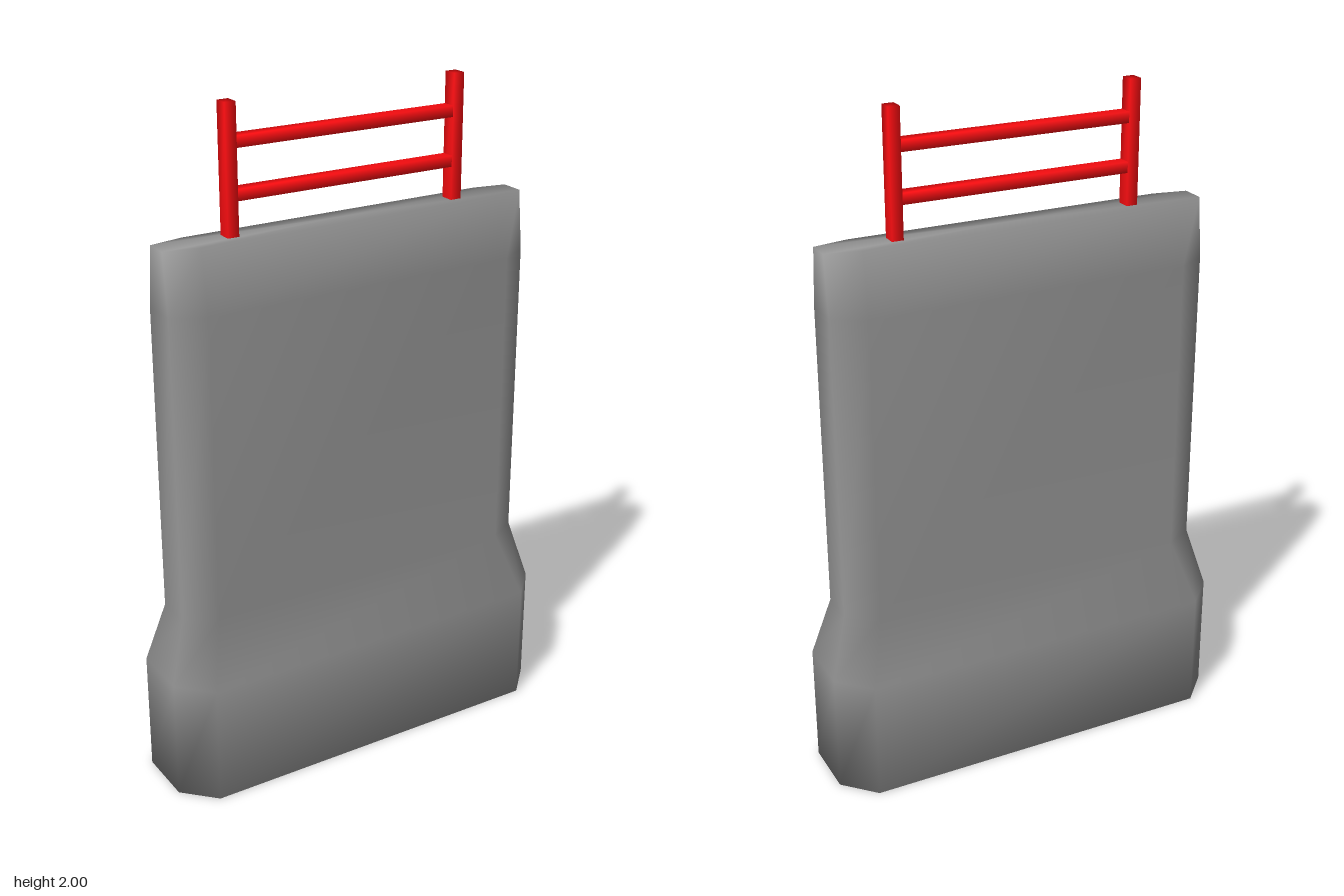
import * as THREE from 'three';
import { mergeVertices } from 'three/addons/utils/BufferGeometryUtils.js';

const grey = new THREE.MeshStandardMaterial({ color: 0x929292 });
const red = new THREE.MeshStandardMaterial({ color: 0xff0c10 });

// Chamfered slab lofted through octagonal sections, with smooth normals
function slabGeometry(sections) {
  const pos = [], index = [];
  for (const [y, x, z, cx, cz] of sections) {
    const ring = [[x, cz], [cx, z], [-cx, z], [-x, cz], [-x, -cz], [-cx, -z], [cx, -z], [x, -cz]];
    for (const [px, pz] of ring) pos.push(px, y, pz);
  }
  const last = (sections.length - 1) * 8;
  const bottom = last + 8, top = last + 9;
  pos.push(0, sections[0][0], 0, 0, sections[sections.length - 1][0], 0);
  for (let i = 0; i < 8; i++) {
    const j = (i + 1) % 8;
    for (let r = 0; r < last; r += 8) {
      index.push(r + i, r + 8 + i, r + j, r + j, r + 8 + i, r + 8 + j);
    }
    // Bottom and top caps
    index.push(bottom, i, j, top, last + j, last + i);
  }
  const g = new THREE.BufferGeometry();
  g.setAttribute('position', new THREE.Float32BufferAttribute(pos, 3));
  g.setIndex(index);
  g.computeVertexNormals();
  return g;
}

// Square bar with softened shading
function bar(name, w, h, d, x, y) {
  let g = new THREE.BoxGeometry(w, h, d);
  g.deleteAttribute('normal');
  g.deleteAttribute('uv');
  g = mergeVertices(g);
  g.computeVertexNormals();
  const m = new THREE.Mesh(g, red);
  m.name = name;
  m.position.set(x, y, 0);
  return m;
}

export function createModel() {
  const model = new THREE.Group();
  model.name = 'barrierBlock';

  // Body: wide foot, sloped shoulder, upright wall, tapered top
  // Each section: height, half width, half depth, chamfer x, chamfer z
  const body = new THREE.Mesh(slabGeometry([
    [0, 0.635, 0.182, 0.545, 0.09],
    [0.365, 0.635, 0.182, 0.545, 0.09],
    [0.55, 0.582, 0.108, 0.49, 0.055],
    [1.46, 0.582, 0.108, 0.49, 0.055],
    [1.637, 0.582, 0.055, 0.48, 0.036],
  ]), grey);
  body.name = 'body';
  model.add(body);

  // Top railing: two posts and two crossbars
  const railing = new THREE.Group();
  railing.name = 'railing';
  for (const s of [-1, 1]) {
    railing.add(bar(s > 0 ? 'leftPost' : 'rightPost', 0.034, 0.4, 0.042, s * 0.363, 1.8));
  }
  railing.add(bar('lowerCrossbar', 0.72, 0.032, 0.04, 0, 1.75));
  railing.add(bar('upperCrossbar', 0.72, 0.032, 0.04, 0, 1.893));
  model.add(railing);

  return model;
}
